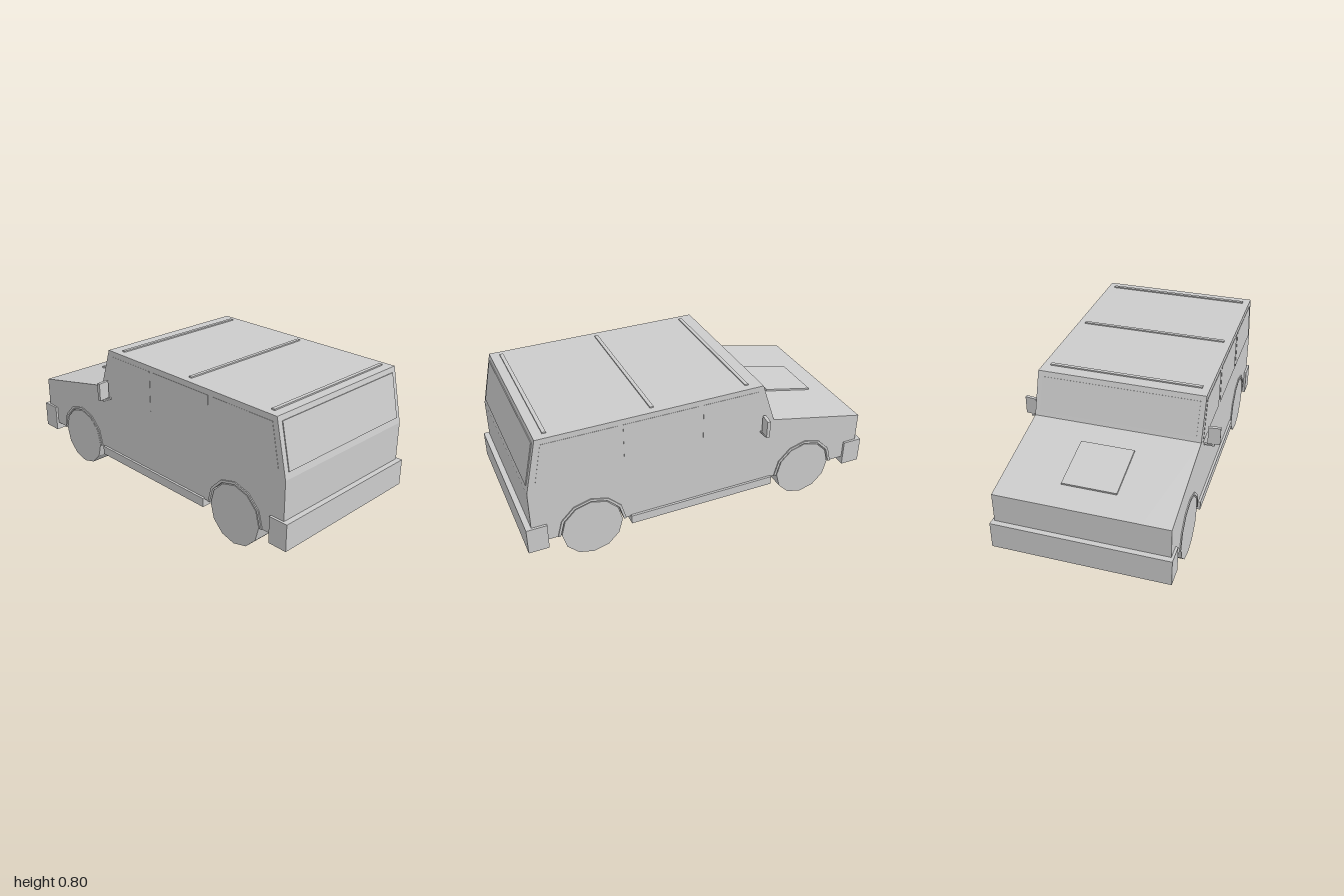
import * as THREE from 'three';

export function createModel() {
  const model = new THREE.Group();
  const material = new THREE.MeshStandardMaterial({ color: 0xcccccc, flatShading: true });

  function add(name, geometry, x = 0, y = 0, z = 0) {
    const mesh = new THREE.Mesh(geometry, material);
    mesh.name = name;
    mesh.position.set(x, y, z);
    model.add(mesh);
    return mesh;
  }

  // Box given by its limits on each axis
  const box = (name, x0, x1, y0, y1, z0, z1) =>
    add(name, new THREE.BoxGeometry(x1 - x0, y1 - y0, z1 - z0), (x0 + x1) / 2, (y0 + y1) / 2, (z0 + z1) / 2);

  // Side outline pushed from z0 to z1
  function extrude(name, points, z0, z1) {
    const shape = new THREE.Shape(points.map(([x, y]) => new THREE.Vector2(x, y)));
    return add(name, new THREE.ExtrudeGeometry(shape, { depth: z1 - z0, bevelEnabled: false }), 0, 0, z0);
  }

  // Thin panel across the body, lying on the slope from a to b
  function slopePanel(name, a, b, halfWidth, thickness) {
    const dx = b[0] - a[0], dy = b[1] - a[1];
    const panel = add(name, new THREE.BoxGeometry(Math.hypot(dx, dy), thickness, halfWidth * 2),
      (a[0] + b[0]) / 2, (a[1] + b[1]) / 2, 0);
    panel.rotation.z = Math.atan2(dy, dx);
  }

  // Points on the upper half of a 12-sided circle, from +x round to -x
  const wheelY = 0.167, axles = [0.65, -0.62];
  const arc = (x, r) => Array.from({ length: 7 }, (_, i) =>
    [x + r * Math.cos(i * Math.PI / 6), wheelY + r * Math.sin(i * Math.PI / 6)]);

  // Body: solid middle, and sides with wheel openings
  const upper = [[-0.97, 0.165], [-0.97, 0.435], [-0.405, 0.555], [-0.325, 0.788],
    [0.905, 0.788], [0.97, 0.485], [0.97, 0.165]];
  extrude('bodyCore', upper, -0.315, 0.315);
  const sideOutline = [...upper, ...arc(axles[0], 0.175), ...arc(axles[1], 0.175)];
  extrude('bodyLeftSide', sideOutline, 0.315, 0.46);
  extrude('bodyRightSide', sideOutline, -0.46, -0.315);

  // Windows at both ends, hood panel
  slopePanel('windshield', [-0.396, 0.58], [-0.335, 0.76], 0.432, 0.004);
  slopePanel('rearWindow', [0.912, 0.76], [0.963, 0.52], 0.432, 0.008);
  slopePanel('hoodPanel', [-0.83, 0.468], [-0.54, 0.53], 0.145, 0.014);

  // Roof strips
  for (const x of [-0.245, 0.29, 0.845]) box('roofStrip', x - 0.01, x + 0.01, 0.78, 0.795, -0.42, 0.42);

  // Bumpers, floor with side steps
  box('frontBumper', -1, -0.89, 0.122, 0.27, -0.473, 0.473);
  box('rearBumper', 0.89, 1, 0.122, 0.27, -0.473, 0.473);
  box('floorAndSteps', -0.41, 0.435, 0.125, 0.175, -0.473, 0.473);

  // Side window outlines
  const panes = [
    [[-0.36, 0.53], [0.02, 0.53], [0.02, 0.757], [-0.3, 0.757]],
    [[0.05, 0.53], [0.46, 0.53], [0.46, 0.757], [0.05, 0.757]],
    [[0.49, 0.53], [0.925, 0.53], [0.88, 0.757], [0.49, 0.757]],
  ];

  for (const s of [1, -1]) {
    const slab = (name, points, a, b) => extrude(name, points, Math.min(s * a, s * b), Math.max(s * a, s * b));
    for (const pane of panes) slab('sideWindow', pane, 0.458, 0.4615);

    for (const x of axles) {
      // Wheel arch lip and wheel
      slab('wheelArch', [...arc(x, 0.188), ...arc(x, 0.174).reverse()], 0.44, 0.466);
      const wheel = new THREE.CylinderGeometry(0.167, 0.167, 0.14, 12).rotateX(Math.PI / 2);
      add('wheel', wheel, x, wheelY, s * 0.393);
    }

    // Door mirror: arm, short post and tilted head
    box('mirrorArm', -0.334, -0.322, 0.497, 0.505, ...(s > 0 ? [0.45, 0.515] : [-0.515, -0.45]));
    add('mirrorPost', new THREE.BoxGeometry(0.012, 0.016, 0.01), -0.328, 0.508, s * 0.51);
    const head = add('mirrorHead', new THREE.BoxGeometry(0.018, 0.1, 0.066), -0.328, 0.562, s * 0.511);
    head.rotation.y = s * 0.12;
  }

  return model;
}
